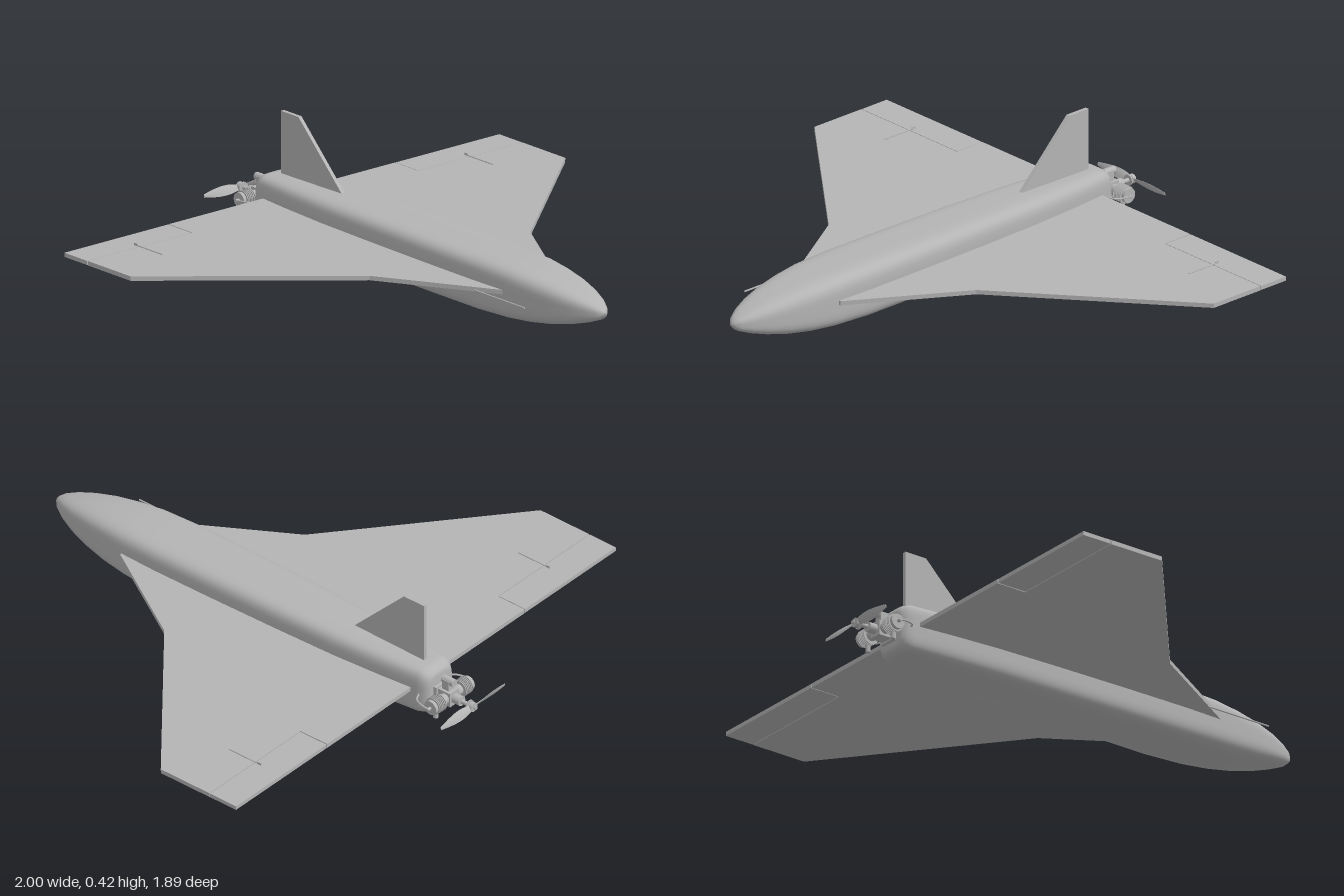
import * as THREE from 'three';

const grey = new THREE.MeshStandardMaterial({ color: 0xb4b4b4 });
grey.name = 'matte grey';

function add(parent, name, geometry, x = 0, y = 0, z = 0) {
  const mesh = new THREE.Mesh(geometry, grey);
  mesh.name = name;
  mesh.position.set(x, y, z);
  parent.add(mesh);
  return mesh;
}

const box = (w, h, d) => new THREE.BoxGeometry(w, h, d);
const rodZ = (r, length, sides = 20) => new THREE.CylinderGeometry(r, r, length, sides).rotateX(Math.PI / 2);
const rodX = (r, length, sides = 20) => new THREE.CylinderGeometry(r, r, length, sides).rotateZ(Math.PI / 2);
const outline = (points) => new THREE.Shape(points.map(([a, b]) => new THREE.Vector2(a, b)));

// Flat plate drawn in x and z, centred on y = 0
function plate(points, thickness) {
  const shape = outline(points.map(([x, z]) => [x, -z]));
  return new THREE.ExtrudeGeometry(shape, { depth: thickness, bevelEnabled: false })
    .rotateX(-Math.PI / 2).translate(0, -thickness / 2, 0);
}

// Rounded-square sections lofted from tail to nose: z, half width, half height, centre y, squareness
function fuselageGeometry() {
  const sections = [
    [-0.79, 0.001, 0.001, 0.105, 4], [-0.79, 0.05, 0.06, 0.105, 4], [-0.785, 0.064, 0.074, 0.105, 4],
    [-0.77, 0.075, 0.086, 0.106, 4.2], [-0.745, 0.082, 0.092, 0.106, 4.5], [-0.6, 0.096, 0.095, 0.105, 4.5],
    [-0.4, 0.11, 0.098, 0.105, 4.5], [-0.15, 0.118, 0.1, 0.105, 4.5], [0.15, 0.124, 0.1, 0.105, 4.5],
    [0.4, 0.126, 0.099, 0.105, 4.5], [0.55, 0.122, 0.095, 0.106, 4.2], [0.65, 0.112, 0.087, 0.106, 3.9],
    [0.74, 0.097, 0.075, 0.107, 3.6], [0.82, 0.077, 0.058, 0.108, 3.3], [0.88, 0.054, 0.041, 0.109, 3],
    [0.92, 0.031, 0.025, 0.109, 2.7], [0.935, 0.016, 0.013, 0.11, 2.5], [0.94, 0.001, 0.001, 0.11, 2.5]
  ];
  const sides = 48, positions = [], index = [];
  const power = (v, n) => Math.sign(v) * Math.pow(Math.abs(v), 2 / n);
  sections.forEach(([z, w, h, cy, n], i) => {
    for (let j = 0; j < sides; j++) {
      const t = (j + 0.5) / sides * Math.PI * 2;
      positions.push(w * power(Math.cos(t), n) - 0.003, cy + h * power(Math.sin(t), n), z);
      if (i === sections.length - 1) continue;
      const a = i * sides + j, b = i * sides + (j + 1) % sides;
      index.push(a, b, a + sides, b, b + sides, a + sides);
    }
  });
  const geometry = new THREE.BufferGeometry();
  geometry.setAttribute('position', new THREE.Float32BufferAttribute(positions, 3));
  geometry.setIndex(index);
  geometry.computeVertexNormals();
  return geometry;
}

// Tapered, twisted blade running along +x from the hub
function bladeGeometry() {
  const geometry = new THREE.BoxGeometry(0.168, 1, 1, 12, 4, 1).translate(0.084, 0, 0);
  const p = geometry.attributes.position;
  for (let i = 0; i < p.count; i++) {
    const x = p.getX(i), u = x / 0.168;
    const chord = 0.012 + 0.024 * Math.sin(Math.PI * Math.pow(u, 0.8));
    const v = p.getY(i) * chord;
    const w = p.getZ(i) * (0.007 - 0.004 * u) * (1 - 1.6 * Math.abs(p.getY(i)));
    const twist = 0.75 - 0.5 * u;
    p.setXYZ(i, x, v * Math.cos(twist) - w * Math.sin(twist), v * Math.sin(twist) + w * Math.cos(twist));
  }
  geometry.computeVertexNormals();
  return geometry;
}

function createWing() {
  const wing = new THREE.Group();
  wing.name = 'wing';
  wing.position.y = 0.116;
  wing.rotation.z = -0.012;
  const half = [[0.52, -0.725], [0.52, -0.605], [1, -0.605], [1, -0.385], [0.37, 0.14], [0.125, 0.55]];
  const mirrored = half.map(([x, z]) => [-x, z]).reverse();
  add(wing, 'wingPanel', plate([...half, ...mirrored], 0.016));
  for (const s of [1, -1]) {
    // Elevon behind a narrow hinge gap
    add(wing, 'elevon', box(0.477, 0.015, 0.117), s * 0.7615, 0, -0.6665);
    add(wing, 'elevonHinge', box(0.46, 0.008, 0.006), s * 0.76, 0, -0.606);
    // Push rod and control horn
    add(wing, 'pushRod', rodZ(0.0025, 0.14, 8), s * 0.76, 0.0095, -0.56);
    add(wing, 'controlHorn', box(0.004, 0.014, 0.016), s * 0.76, 0.009, -0.625);
  }
  // Air-speed probe on one leading edge
  add(wing, 'probe', rodZ(0.003, 0.28, 10), -0.175, -0.004, 0.58);
  return wing;
}

function createEngine() {
  const engine = new THREE.Group();
  engine.name = 'engine';
  engine.position.set(0, 0.095, 0);
  add(engine, 'engineMount', box(0.07, 0.07, 0.016), 0, 0, -0.794);
  add(engine, 'crankcase', box(0.05, 0.055, 0.06), 0, 0, -0.825);
  add(engine, 'shaftHousing', rodZ(0.018, 0.04), 0, 0, -0.868);
  add(engine, 'driveShaft', rodZ(0.008, 0.09), 0, 0, -0.9);
  add(engine, 'carburettor', box(0.03, 0.04, 0.03), 0, 0.045, -0.825);
  add(engine, 'airFilter', rodZ(0.014, 0.05), 0, 0.06, -0.83);
  for (const s of [1, -1]) {
    // Finned, horizontally opposed cylinders
    add(engine, 'cylinder', rodX(0.02, 0.08), s * 0.06, 0, -0.832);
    for (let i = 0; i < 6; i++) add(engine, 'coolingFin', rodX(0.032, 0.003), s * (0.052 + i * 0.007), 0, -0.832);
    add(engine, 'cylinderHead', rodX(0.027, 0.012), s * 0.096, 0, -0.832);
    add(engine, 'sparkPlug', rodX(0.006, 0.02, 10), s * 0.108, 0, -0.832);
    // Ignition lead curving back into the body
    const lead = new THREE.CatmullRomCurve3([[0.112, 0, -0.838], [0.114, 0.004, -0.81], [0.1, 0.006, -0.77], [0.07, 0.01, -0.755]]
      .map(([x, y, z]) => new THREE.Vector3(s * x, y, z)));
    add(engine, 'ignitionLead', new THREE.TubeGeometry(lead, 20, 0.0035, 8));
    add(engine, 'exhaust', new THREE.CylinderGeometry(0.009, 0.009, 0.04, 14), s * 0.07, -0.035, -0.83);
  }
  const propeller = new THREE.Group();
  propeller.name = 'propeller';
  propeller.position.z = -0.937;
  engine.add(propeller);
  add(propeller, 'hub', rodZ(0.017, 0.014), 0, 0, 0);
  add(propeller, 'hubFlange', rodZ(0.02, 0.005), 0, 0, 0.014);
  add(propeller, 'hubNut', rodZ(0.007, 0.016, 6), 0, 0, -0.008);
  for (const turn of [0, Math.PI]) add(propeller, 'blade', bladeGeometry()).rotation.z = turn - 0.02;
  return engine;
}

export function createModel() {
  const model = new THREE.Group();
  model.name = 'deltaWingAircraft';
  add(model, 'fuselage', fuselageGeometry());
  model.add(createWing());

  // Upright fin with a swept leading edge
  const finShape = outline([[-0.725, 0.15], [-0.36, 0.15], [-0.41, 0.2], [-0.635, 0.424], [-0.725, 0.424]]);
  const fin = new THREE.ExtrudeGeometry(finShape, { depth: 0.014, bevelEnabled: false }).rotateY(-Math.PI / 2);
  add(model, 'tailFin', fin, 0.01, 0, 0);

  model.add(createEngine());
  return model;
}
